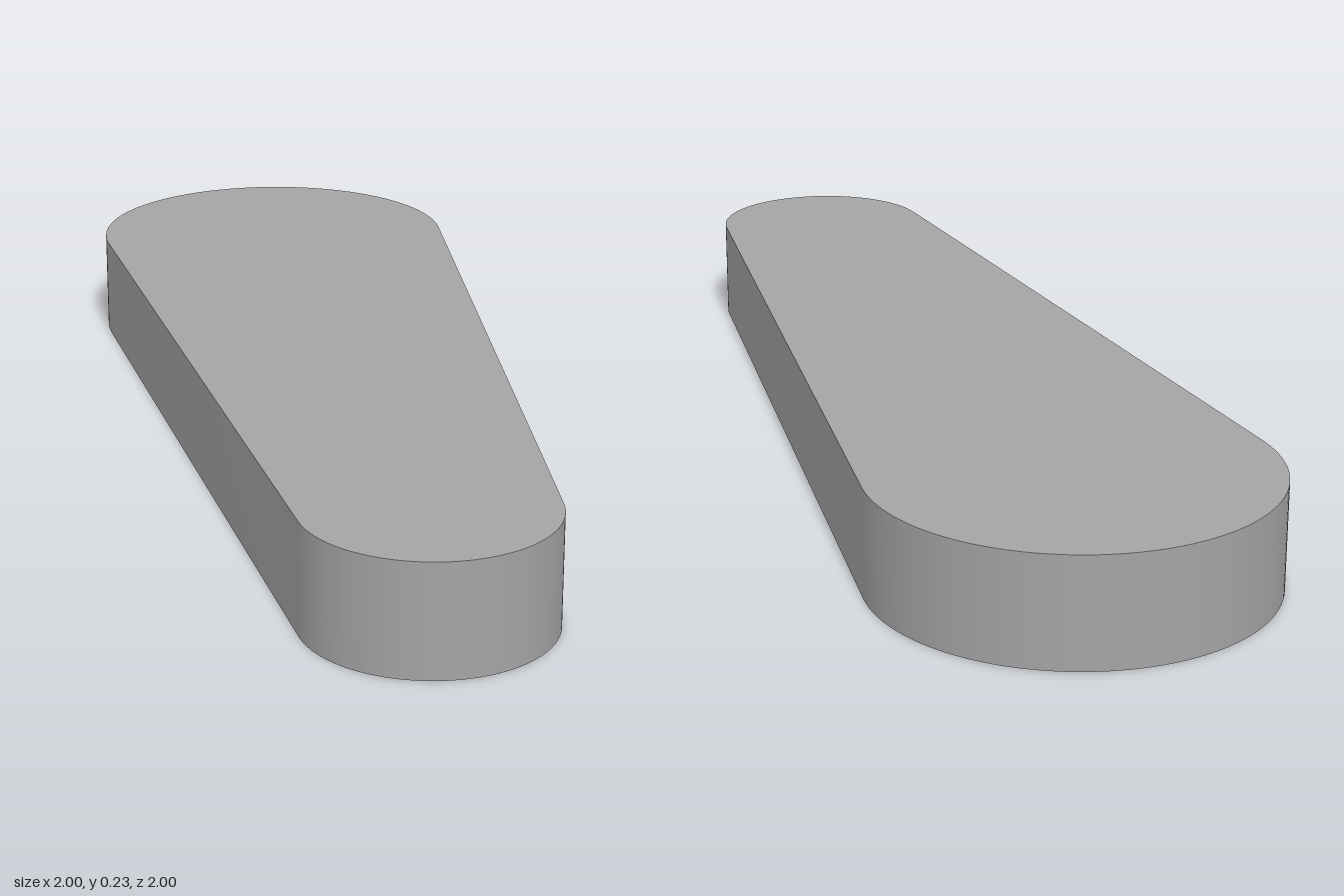
import * as THREE from 'three';
import { toCreasedNormals } from 'three/addons/utils/BufferGeometryUtils.js';

const HEIGHT = 0.235;
const BIG = { c: 0.575, r: 0.425 }; // back right end
const SMALL = { c: 0.745, r: 0.255 }; // front left end

export function createModel() {
  const group = new THREE.Group();
  group.name = 'taperedArm';

  // Outline: two round ends on a diagonal, joined by their common tangents
  const axis = -Math.PI / 4;
  const length = (BIG.c + SMALL.c) * Math.SQRT2;
  const spread = Math.acos((BIG.r - SMALL.r) / length);
  const outline = new THREE.Shape();
  outline.absarc(SMALL.c, -SMALL.c, SMALL.r, axis - spread, axis + spread, false);
  outline.absarc(-BIG.c, BIG.c, BIG.r, axis + spread, axis - spread + Math.PI * 2, false);
  outline.closePath();

  // Flat plate with smooth sides and sharp rims, laid on the ground
  const plate = new THREE.ExtrudeGeometry(outline, {
    depth: HEIGHT, bevelEnabled: false, curveSegments: 48,
  });
  plate.rotateX(-Math.PI / 2);

  const arm = new THREE.Mesh(
    toCreasedNormals(plate, Math.PI / 6),
    new THREE.MeshStandardMaterial({ color: 0xa4a4a4 }),
  );
  arm.name = 'armPlate';
  group.add(arm);
  return group;
}
